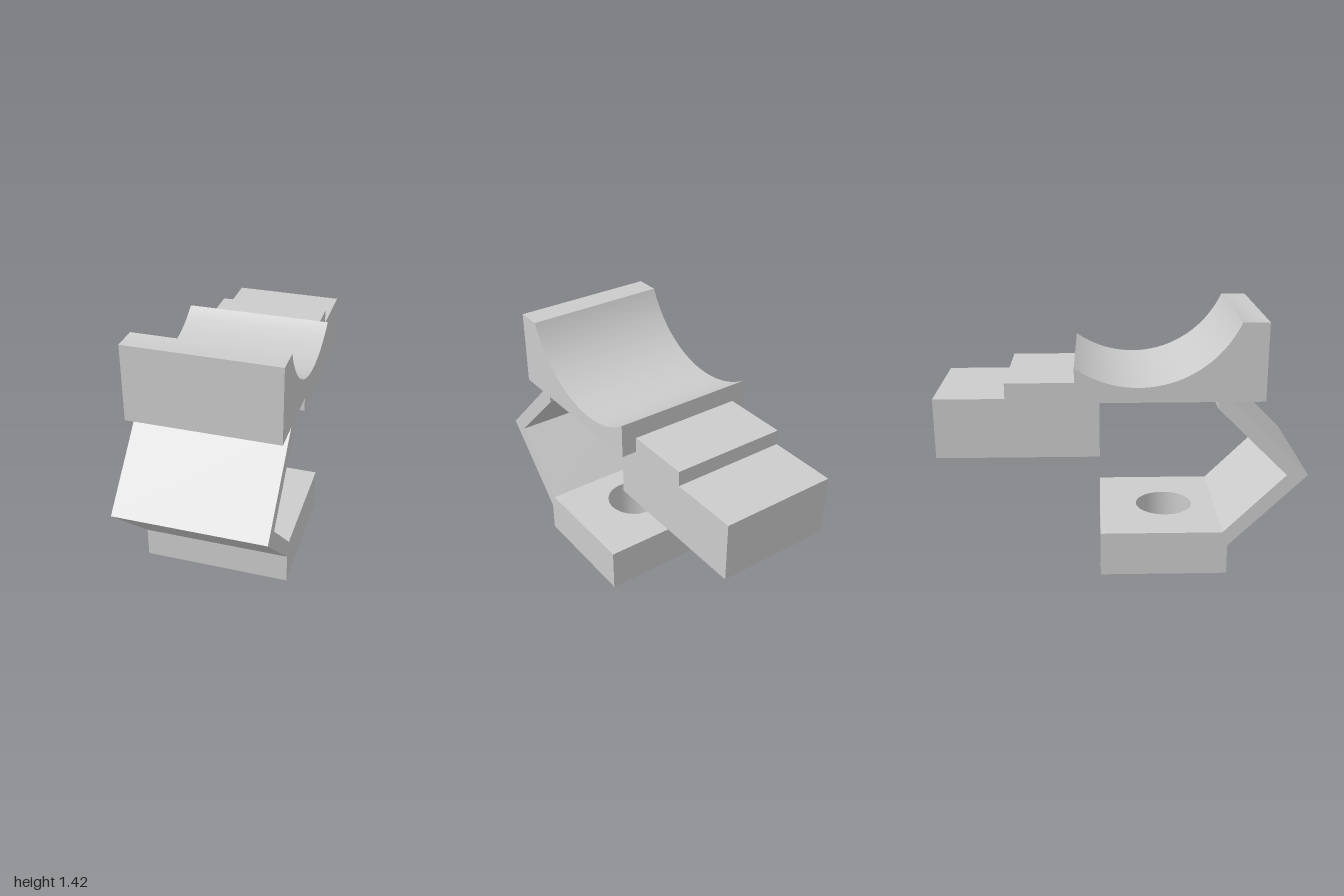
import * as THREE from 'three';
import { toCreasedNormals } from 'three/addons/utils/BufferGeometryUtils.js';

const WIDTH = 0.81;
const material = new THREE.MeshStandardMaterial({ color: 0xcccccc });

function part(name, geometry) {
  const mesh = new THREE.Mesh(toCreasedNormals(geometry, 0.5), material);
  mesh.name = name;
  return mesh;
}

// Side profile drawn in (z, y), extruded across x and centred
function acrossX(shape, width) {
  return new THREE.ExtrudeGeometry(shape, { depth: width, bevelEnabled: false, curveSegments: 32 })
    .translate(0, 0, -width / 2)
    .rotateY(-Math.PI / 2);
}

function polygon(points) {
  return new THREE.Shape(points.map(([a, b]) => new THREE.Vector2(a, b)));
}

export function createModel() {
  const model = new THREE.Group();
  model.name = 'bentArmCradle';

  // Base plate with a vertical round hole (plan drawn in x, -z)
  const plan = polygon([[-WIDTH / 2, -0.58], [WIDTH / 2, -0.58], [WIDTH / 2, 0.12], [-WIDTH / 2, 0.12]]);
  const hole = new THREE.Path();
  hole.absarc(0, -0.255, 0.163, 0, Math.PI * 2, true);
  plan.holes.push(hole);
  const base = new THREE.ExtrudeGeometry(plan, { depth: 0.25, bevelEnabled: false, curveSegments: 24 });
  model.add(part('basePlate', base.rotateX(-Math.PI / 2)));

  // Thin V-shaped arm joining the base to the saddle
  model.add(part('bentArm', acrossX(polygon([
    [0.58, 0.17], [1, 0.585], [0.58, 1], [0.5, 1], [0.5, 0.965], [0.885, 0.585], [0.55, 0.25],
  ]), WIDTH)));

  // Saddle with a concave circular top
  const cz = 0.085, cy = 1.655, r = 0.575;
  const saddle = new THREE.Shape();
  saddle.moveTo(-0.25, 1);
  saddle.lineTo(0.75, 1);
  saddle.lineTo(0.75, 1.42);
  saddle.lineTo(0.61, 1.42);
  saddle.absarc(cz, cy, r, Math.atan2(1.42 - cy, 0.61 - cz), Math.atan2(1.188 - cy, -0.25 - cz), true);
  model.add(part('saddle', acrossX(saddle, WIDTH)));

  // Narrower stepped block behind and under the saddle
  model.add(part('steppedBlock', acrossX(polygon([
    [-1, 0.67], [-0.12, 0.67], [-0.12, 1], [-0.25, 1], [-0.25, 1.085], [-0.62, 1.085], [-0.62, 1], [-1, 1],
  ]), 0.64)));

  return model;
}
